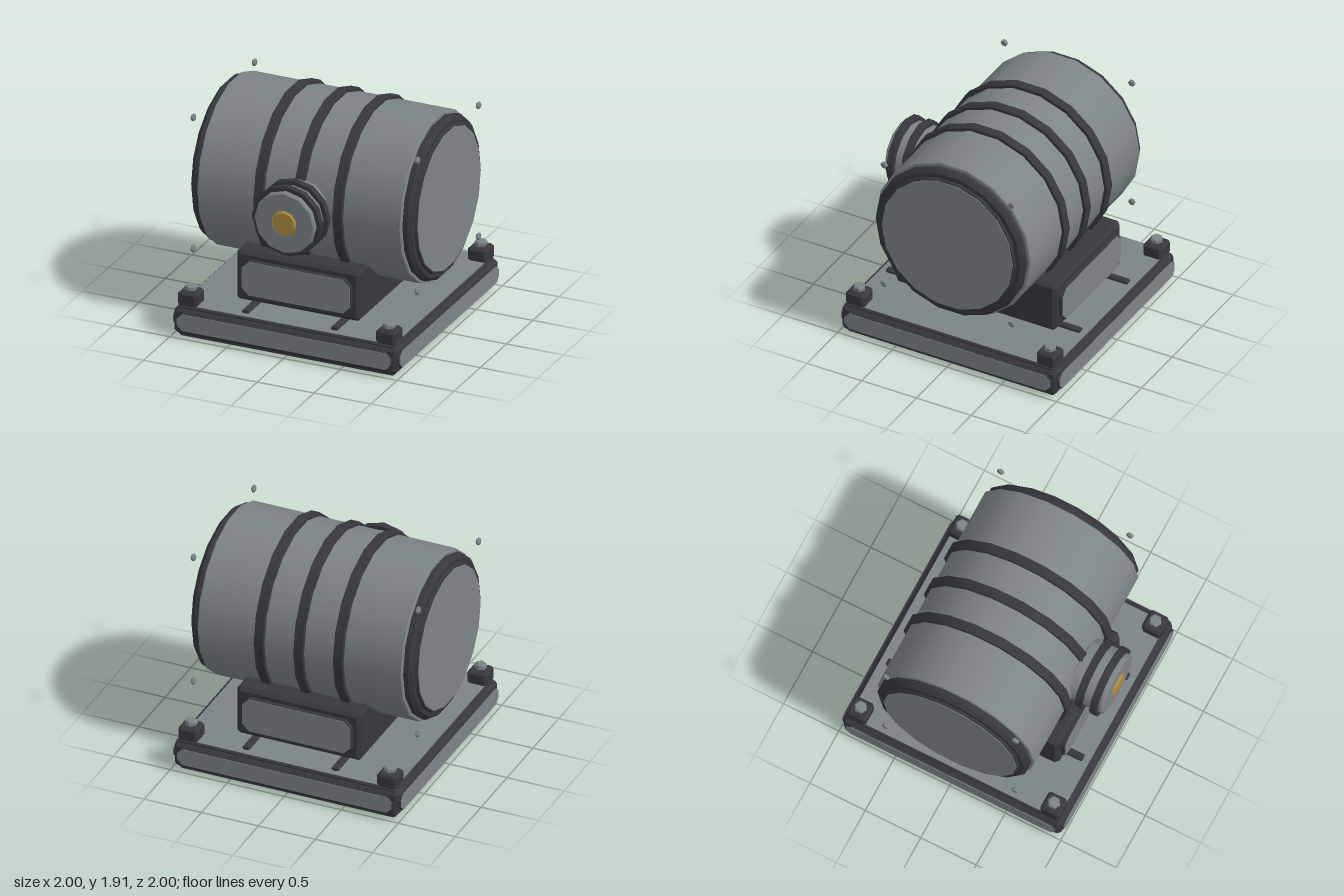
import * as THREE from 'three';
import { toCreasedNormals } from 'three/addons/utils/BufferGeometryUtils.js';

const mat = (name, color) => {
  const m = new THREE.MeshStandardMaterial({ color });
  m.name = name;
  return m;
};

export function createModel() {
  const steel = mat('steel grey', 0x7d8487);
  const iron = mat('dark iron', 0x38373f);
  const brass = mat('brass', 0xb08d3f);
  const model = new THREE.Group();
  model.name = 'drumOnBase';

  const add = (name, geometry, material, x = 0, y = 0, z = 0, parent = model) => {
    const mesh = new THREE.Mesh(geometry, material);
    mesh.name = name;
    mesh.position.set(x, y, z);
    parent.add(mesh);
    return mesh;
  };

  // Rectangle with cut corners, extruded along z from 0 to depth, with chamfered rims
  const plate = (w, h, depth, cut, bevel = 0) => {
    const a = w / 2 - bevel, b = h / 2 - bevel;
    const corners = [[a - cut, -b], [a, cut - b], [a, b - cut], [a - cut, b],
      [cut - a, b], [-a, b - cut], [-a, cut - b], [cut - a, -b]];
    const shape = new THREE.Shape(corners.map(([x, y]) => new THREE.Vector2(x, y)));
    return new THREE.ExtrudeGeometry(shape, {
      depth: depth - 2 * bevel, bevelEnabled: bevel > 0,
      bevelSize: bevel, bevelThickness: bevel, bevelSegments: 1,
    }).translate(0, 0, bevel);
  };
  // The same block lying flat, rising from y = 0
  const slab = (w, d, height, cut, bevel) => plate(w, d, height, cut, bevel).rotateX(-Math.PI / 2);

  // Solid of revolution from [radius, height] points, axis y
  const turned = (points, sides) => toCreasedNormals(
    new THREE.LatheGeometry(points.map(([r, y]) => new THREE.Vector2(r, y)), sides), 0.6);
  // Disc from a to b along its axis, with chamfered rims
  const disc = (r, a, b, sides, c = 0.008) =>
    turned([[0, a], [r - c, a], [r, a + c], [r, b - c], [r - c, b], [0, b]], sides);
  const alongX = (g) => g.rotateZ(-Math.PI / 2);
  const alongZ = (g) => g.rotateX(Math.PI / 2);

  // Base: body, top and bottom plates, side panels
  add('baseBody', slab(1.96, 1.96, 0.23, 0.01, 0.03), iron, 0, 0.025, 0);
  add('baseTopSlab', slab(1.91, 1.91, 0.05, 0.01, 0.012), iron, 0, 0.222, 0);
  add('baseTopSheet', slab(1.88, 1.88, 0.006, 0.01, 0), steel, 0, 0.269, 0);
  add('baseBottomSlab', slab(1.89, 1.89, 0.04, 0.01, 0.008), iron, 0, 0.003, 0);
  add('baseBottomSheet', slab(1.87, 1.87, 0.006, 0.01, 0), steel);
  for (let i = 0; i < 4; i++) {
    const side = new THREE.Group();
    side.name = 'baseSidePanel';
    side.rotation.y = i * Math.PI / 2;
    add('panelFrame', plate(1.9, 0.16, 0.04, 0.05, 0.005), iron, 0, 0.142, 0.955, side);
    add('panelFace', plate(1.88, 0.145, 0.006, 0.045), steel, 0, 0.142, 0.994, side);
    model.add(side);
  }

  // Corner blocks with hexagonal bolts
  for (const x of [-0.872, 0.872]) for (const z of [-0.872, 0.872]) {
    add('cornerBlock', slab(0.17, 0.17, 0.125, 0.008, 0.02), iron, x, 0.262, z);
    add('cornerBolt', disc(0.053, 0, 0.05, 6, 0.012), steel, x, 0.382, z);
  }

  // Rails under the cradle
  for (const x of [-0.39, 0.39])
    add('rail', plate(0.06, 0.04, 1.77, 0.008, 0.008), iron, x, 0.285, -0.885);

  // Cradle with a panel at the front and back
  add('cradle', plate(1.085, 0.435, 1.47, 0.005, 0.03), iron, 0, 0.525, -0.735);
  for (const turn of [0, Math.PI]) {
    const end = new THREE.Group();
    end.name = 'cradlePanel';
    end.rotation.y = turn;
    add('panelFrame', plate(0.97, 0.31, 0.04, 0.06, 0.005), iron, 0, 0.525, 0.725, end);
    add('panelFace', plate(0.95, 0.295, 0.006, 0.06), steel, 0, 0.525, 0.764, end);
    model.add(end);
  }

  // Drum with three hoops
  const drumY = 1.18;
  add('drum', alongX(disc(0.71, -0.895, 0.895, 18)), steel, 0, drumY, 0);
  for (const x of [-0.347, 0, 0.347])
    add('hoop', alongX(disc(0.74, -0.042, 0.042, 18, 0.006)), iron, x, drumY, 0);

  // Drum ends: rim, face and small bolts, mirrored by a half turn
  for (const turn of [0, Math.PI]) {
    const end = new THREE.Group();
    end.name = 'drumEnd';
    end.position.y = drumY;
    end.rotation.y = turn;
    add('endRim', alongX(turned([[0, 0.88], [0.66, 0.88], [0.685, 0.905], [0.685, 0.94],
      [0.655, 0.97], [0.62, 0.972], [0.61, 0.992], [0, 0.992]], 18)), iron, 0, 0, 0, end);
    add('endFace', alongX(disc(0.6, 0.99, 0.997, 18, 0.002)), steel, 0, 0, 0, end);
    for (const y of [-0.575, 0.575]) for (const z of [-0.583, 0.583])
      add('endBolt', alongX(disc(0.031, 0.97, 1, 6, 0.008)), steel, 0, y, z, end);
    model.add(end);
  }

  // Front cap with two rings and a brass button
  add('capBody', alongZ(disc(0.268, 0.66, 0.985, 12, 0.014)), steel, 0, drumY, 0);
  for (const z of [0.786, 0.917])
    add('capRing', alongZ(disc(0.305, -0.03, 0.03, 12, 0.004)), iron, 0, drumY, z);
  add('capButton', alongZ(disc(0.11, 0.975, 1, 10, 0.015)), brass, 0, drumY, 0);

  return model;
}
